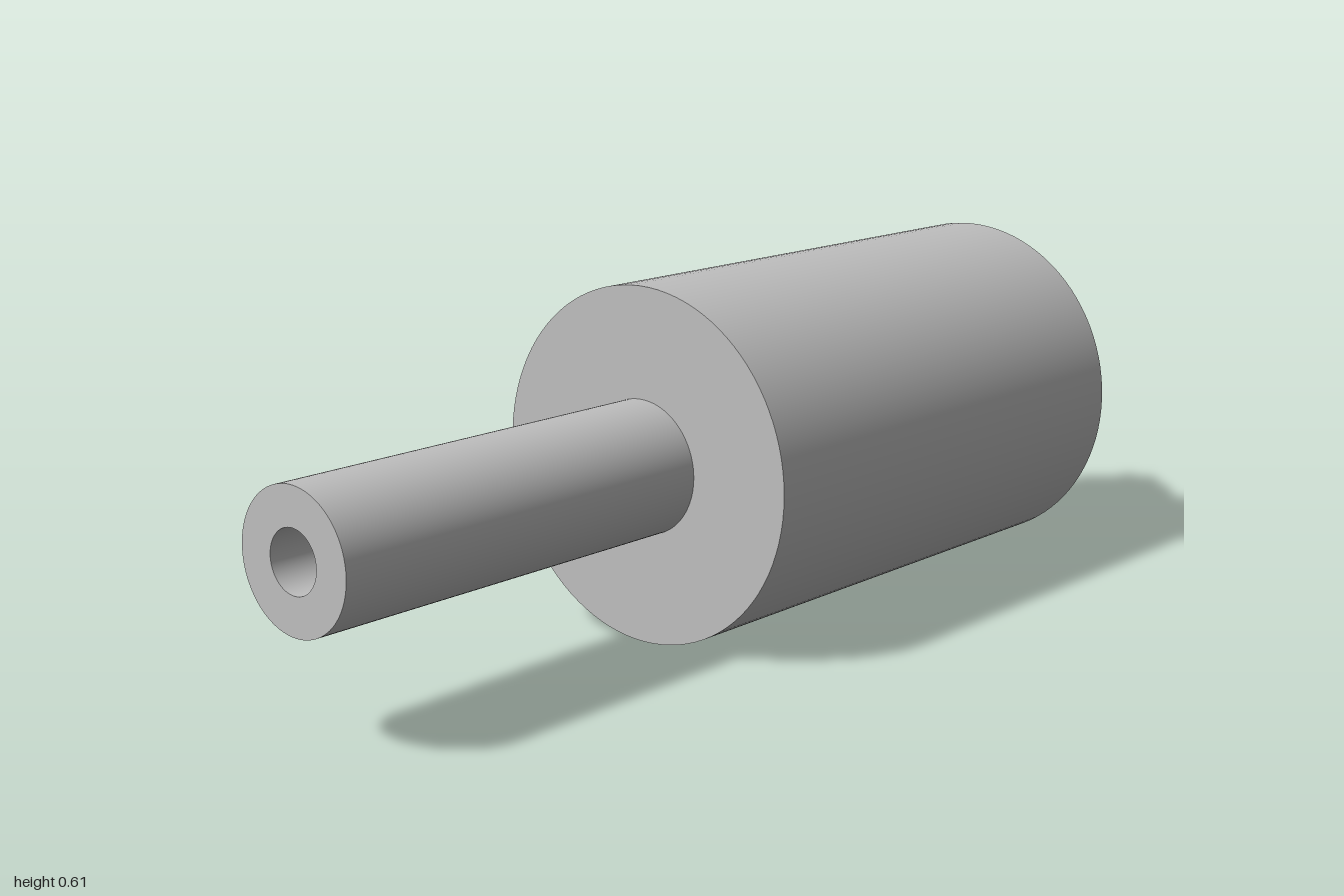
import * as THREE from 'three';
import { mergeGeometries } from 'three/addons/utils/BufferGeometryUtils.js';

const DRUM = 0.305, SHAFT = 0.115, PIN = 0.051;

// Revolves a [radius, z] profile about z, each step separate so edges stay sharp
function turned(name, profile, material) {
  const steps = [];
  for (let i = 0; i < profile.length - 1; i++) {
    const pair = [profile[i], profile[i + 1]].map(([r, z]) => new THREE.Vector2(r, z));
    steps.push(new THREE.LatheGeometry(pair, 96));
  }
  const geometry = mergeGeometries(steps);
  geometry.rotateX(Math.PI / 2);
  const mesh = new THREE.Mesh(geometry, material);
  mesh.name = name;
  mesh.position.y = DRUM;
  return mesh;
}

export function createModel() {
  const group = new THREE.Group();
  group.name = 'roller';
  const steel = new THREE.MeshStandardMaterial({ color: 0xbfbfbf });
  steel.name = 'grey steel';

  group.add(
    // Narrow locating pin at the back
    turned('rearPin', [[0, -1], [PIN, -1], [PIN, -0.913]], steel),
    // Short rear journal with its shoulder
    turned('rearShaft', [[PIN, -0.913], [SHAFT, -0.913], [SHAFT, -0.693]], steel),
    // Main drum with ring-shaped end faces
    turned('drum', [[SHAFT, -0.693], [DRUM, -0.693], [DRUM, 0.26], [SHAFT, 0.26]], steel),
    // Long front shaft with a blind socket in its end
    turned('frontShaft', [[SHAFT, 0.26], [SHAFT, 1], [PIN, 1], [PIN, 0.9], [0, 0.9]], steel)
  );
  return group;
}
